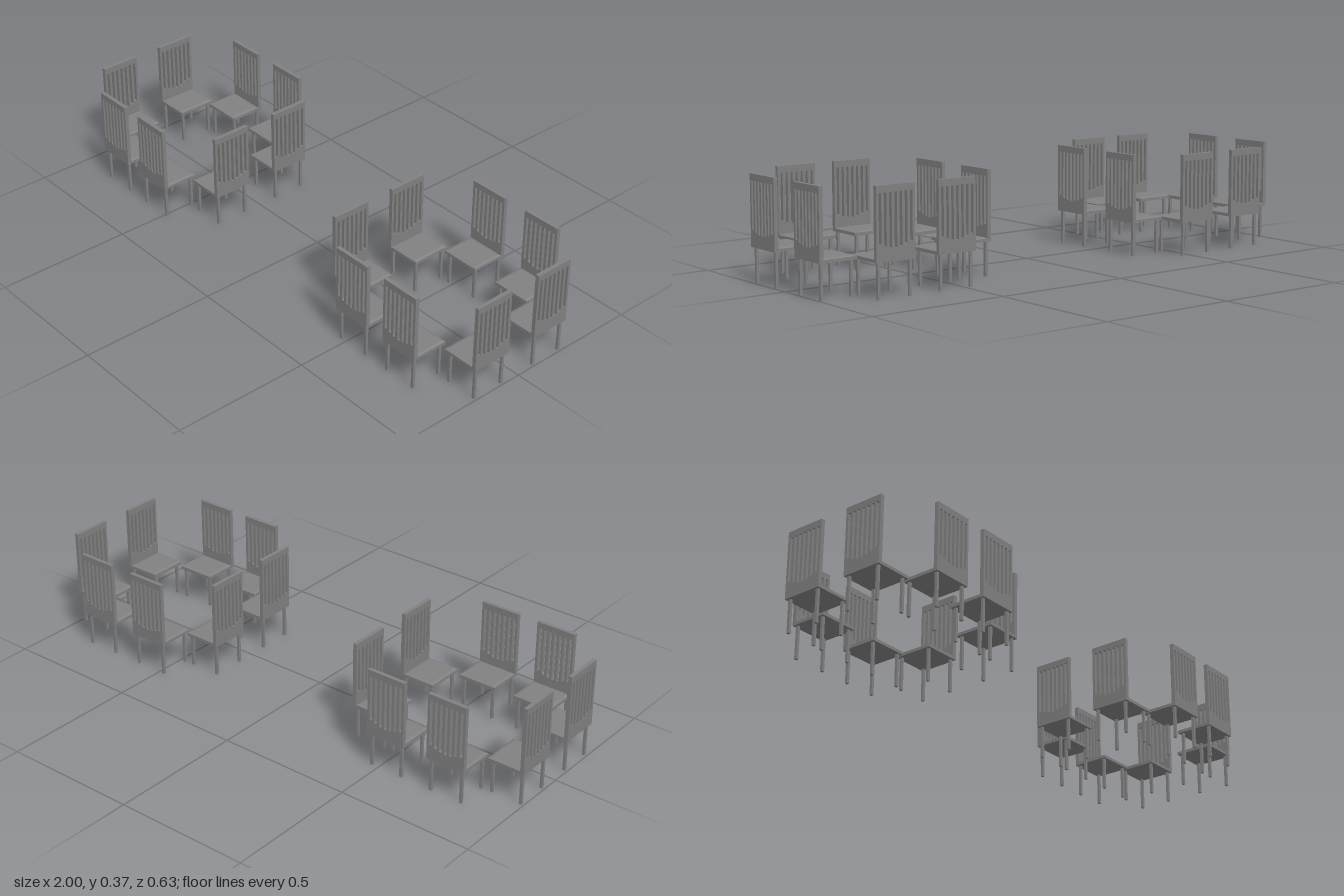
import * as THREE from 'three';

const W = 0.148, D = 0.139, SEAT = 0.12, TOP = 0.365, THICK = 0.0145;
const wood = new THREE.MeshStandardMaterial({ color: 0x808080 });
wood.name = 'grey';

// Slatted back panel: a board with seven slots whose feet follow a shallow arc
function backGeometry() {
  const s = new THREE.Shape();
  s.moveTo(-W / 2, SEAT);
  s.lineTo(W / 2, SEAT);
  s.lineTo(W / 2, TOP);
  s.lineTo(-W / 2, TOP);
  s.closePath();
  const foot = (x) => Math.min(0.179, 0.164 + 0.015 * (x / 0.055) ** 2);
  for (let i = -3; i <= 3; i++) {
    const a = i * 0.0199 - 0.0049, b = a + 0.0098;
    const h = new THREE.Path();
    h.moveTo(a, foot(a));
    h.lineTo(a, 0.342);
    h.lineTo(b, 0.342);
    h.lineTo(b, foot(b));
    h.closePath();
    s.holes.push(h);
  }
  return new THREE.ExtrudeGeometry(s, { depth: THICK, bevelEnabled: false });
}

// Cushion: a thin box whose top edge is drawn in to make a chamfer
function cushionGeometry() {
  const w = W, d = D - THICK, inset = 0.009;
  const g = new THREE.BoxGeometry(w, 0.004, d).toNonIndexed();
  const p = g.attributes.position;
  for (let i = 0; i < p.count; i++) {
    if (p.getY(i) > 0) {
      p.setX(i, p.getX(i) - Math.sign(p.getX(i)) * inset);
      p.setZ(i, p.getZ(i) - Math.sign(p.getZ(i)) * inset);
    }
  }
  g.computeVertexNormals();
  return g;
}

const parts = {
  back: backGeometry(),
  seat: new THREE.BoxGeometry(W, 0.011, D - THICK),
  cushion: cushionGeometry(),
  leg: new THREE.BoxGeometry(0.0098, SEAT, 0.0098),
};

// One chair: back plane at z = 0, facing +z
function makeChair() {
  const chair = new THREE.Group();
  chair.name = 'chair';
  const add = (name, geo, x, y, z) => {
    const m = new THREE.Mesh(geo, wood);
    m.name = name;
    m.position.set(x, y, z);
    chair.add(m);
  };
  const mid = (D + THICK) / 2;
  add('back', parts.back, 0, 0, 0);
  add('seat', parts.seat, 0, SEAT + 0.0055, mid);
  add('cushion', parts.cushion, 0, SEAT + 0.013, mid);
  for (const x of [-1, 1]) {
    add('backLeg', parts.leg, x * 0.0605, SEAT / 2, 0.0125);
    add('frontLeg', parts.leg, x * 0.0605, SEAT / 2, D - 0.0135);
  }
  return chair;
}

export function createModel() {
  const model = new THREE.Group();
  model.name = 'chairs';
  // Place of each chair's back in a ring, and its turn: x, z, quarter turns
  const ring = [
    [-0.3425, -0.126, 1], [-0.3425, 0.131, 1],
    [0.3425, -0.137, -1], [0.3425, 0.131, -1],
    [-0.1165, -0.316, 0], [0.125, -0.316, 0],
    [-0.122, 0.316, 2], [0.104, 0.316, 2],
  ];
  for (const side of [-1, 1]) {
    const group = new THREE.Group();
    group.name = side < 0 ? 'rightChairRing' : 'leftChairRing';
    group.position.x = side * 0.6575;
    for (const [x, z, turn] of ring) {
      const chair = makeChair();
      chair.position.set(x, 0, z);
      chair.rotation.y = (turn * Math.PI) / 2;
      group.add(chair);
    }
    model.add(group);
  }
  return model;
}
